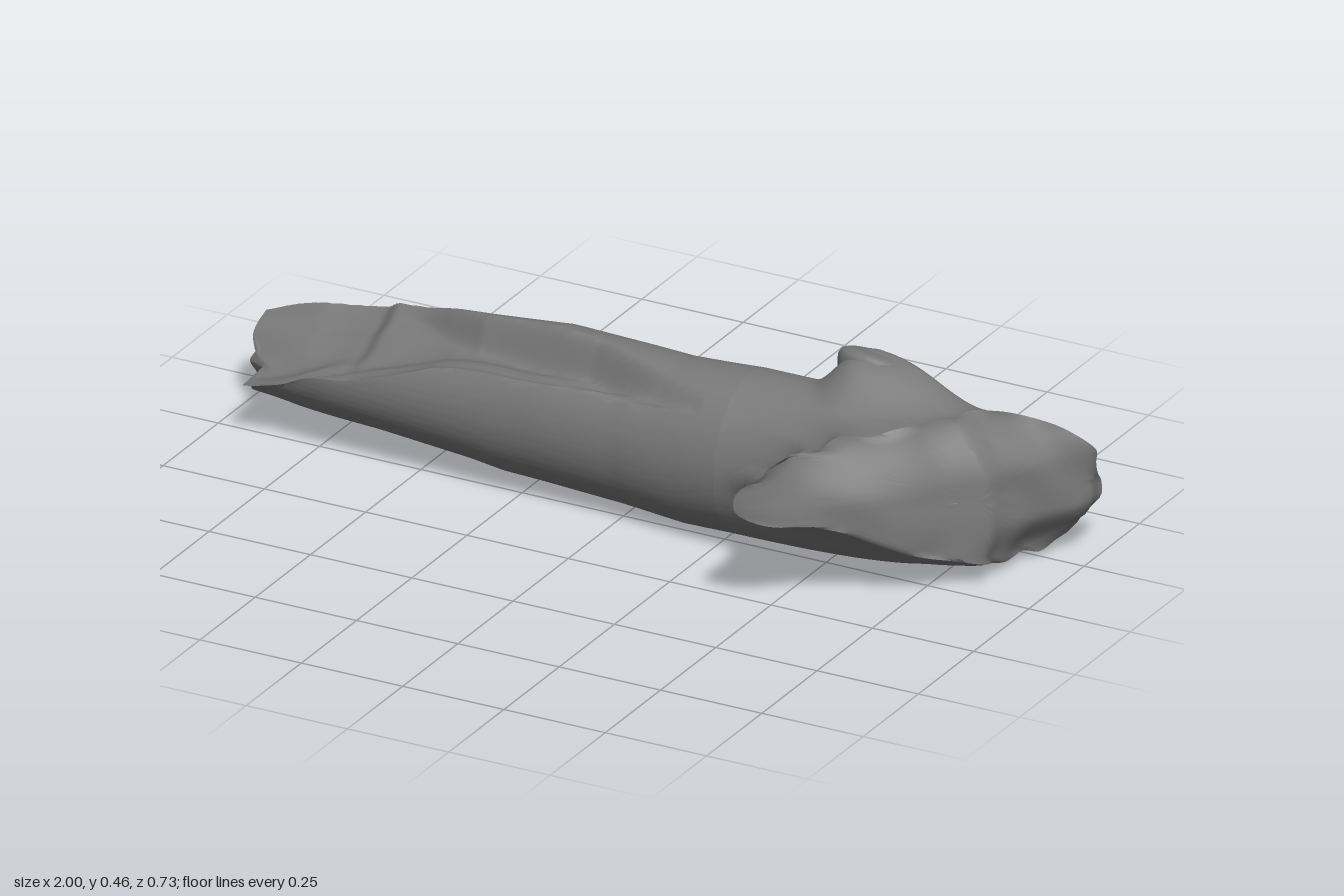
import * as THREE from 'three';
import { toCreasedNormals } from 'three/addons/utils/BufferGeometryUtils.js';

const N = 140;
const V = (x, y, z) => new THREE.Vector3(x, y, z);
const { lerp, smoothstep, clamp } = THREE.MathUtils;

// Piecewise-linear lookup in [x, value] pairs sorted by x
function along(table, x) {
  if (x <= table[0][0]) return table[0][1];
  for (let i = 1; i < table.length; i++) {
    const [x1, v1] = table[i], [x0, v0] = table[i - 1];
    if (x <= x1) return lerp(v0, v1, (x - x0) / (x1 - x0));
  }
  return table[table.length - 1][1];
}

// Smooth repeatable roughness in -1..1
const rough = (a, b) => Math.sin(a * 23 + 1.7 * Math.sin(b * 19)) * Math.cos(b * 29 + 1.3 * Math.sin(a * 17));

// Trunk limits along x
const BACK = [[-1, -0.195], [-0.7, -0.225], [-0.2, -0.24], [0.2, -0.228], [0.4, -0.23]];
const FRONT = [[-1, 0.055], [-0.7, 0.07], [0, 0.08], [0.2, 0.1], [0.35, 0.115]];
const BOTTOM = [[-1, 0.078], [-0.85, 0.066], [-0.6, 0.053], [-0.38, 0.032], [-0.3, 0.02], [0, 0.007], [0.15, 0], [0.4, 0.014]];
const TOP = [[-1, 0.33], [-0.6, 0.335], [-0.4, 0.35], [-0.2, 0.37], [0.1, 0.366], [0.4, 0.39]];
// Broken hollow: where it starts across the trunk, and its rim heights
const RIDGE = [[-0.72, -0.32], [-0.66, -0.22], [-0.5, -0.14], [-0.4, -0.1], [-0.1, -0.06], [0, -0.025], [0.2, 0.04], [0.27, 0.14]];
const FRONT_RIM = [[-1, 0.13], [-0.9, 0.155], [-0.65, 0.21], [-0.45, 0.28], [-0.3, 0.302], [0.2, 0.31]];
const BACK_RIM = [[-1, 0.205], [-0.9, 0.23], [-0.85, 0.243], [-0.69, 0.265], [-0.66, 0.3], [-0.4, 0.33], [0.2, 0.335]];
// Slanted broken face: x for each z, leaning back towards the top and undercut at the bottom
const FACE_X = [[-0.37, 0.98], [-0.3, 1], [-0.2, 0.94], [-0.1, 0.885], [-0.05, 0.87], [0, 0.82], [0.1, 0.745], [0.2, 0.655], [0.3, 0.56], [0.345, 0.52], [0.37, 0.465]];
const faceX = (y, z) => along(FACE_X, z)
  - 0.08 * (1 - smoothstep(y, 0.02, 0.14)) * smoothstep(-z, 0, 0.25)
  - 0.08 * smoothstep(y, 0.24, 0.4) * (1 - smoothstep(Math.abs(z), 0.2, 0.33));

// Point on the whole, unbroken trunk
function trunkPoint(x, a) {
  const zb = along(BACK, x), zf = along(FRONT, x), yb = along(BOTTOM, x), yt = along(TOP, x);
  return V(x, (yb + yt) / 2 + Math.sin(a) * (yt - yb) / 2, (zb + zf) / 2 + Math.cos(a) * (zf - zb) / 2);
}

// Lower the upper surface to the floor of the hollow
function carve(p) {
  const t = clamp((p.z + 0.21) / 0.27, 0, 1);
  const dish = 0.04 * Math.sin(Math.PI * t) * (1 - smoothstep(p.x, 0, 0.22));
  const floor = lerp(along(BACK_RIM, p.x), along(FRONT_RIM, p.x), t) - dish
    + 0.008 * rough(p.x * 0.5, p.z * 1.2);
  const ridge = along(RIDGE, p.x);
  if (p.y > floor) p.y = lerp(p.y, floor, smoothstep(p.z, ridge - 0.02, ridge + 0.03));
  return p;
}

// Swell the wood around the side branch, with a long shoulder to the right
function swell(p) {
  const dx = p.x - 0.54, dz = p.z + 0.14;
  const d = Math.hypot(dx / (dx < 0 ? 0.13 : 0.3), dz / (dz > 0 ? 0.17 : 0.1));
  const top = 0.45 - 0.1 * Math.max(0, dx);
  if (p.y < top) p.y = lerp(p.y, top, 1 - smoothstep(d, 0.25, 1));
  return p;
}

// Skin over a list of rings running towards +x
function loft(rings) {
  const pos = rings.flat().flatMap(p => [p.x, p.y, p.z]), index = [];
  for (let i = 0; i < rings.length - 1; i++) {
    for (let j = 0; j < N; j++) {
      const k = (j + 1) % N, a = i * N, b = a + N;
      index.push(a + j, b + j, b + k, a + j, b + k, a + k);
    }
  }
  const g = new THREE.BufferGeometry();
  g.setAttribute('position', new THREE.Float32BufferAttribute(pos, 3));
  g.setIndex(index);
  return toCreasedNormals(g, 0.8);
}

const ring = fn => Array.from({ length: N }, (_, j) => fn(j / N, j));

function trunkRings() {
  const rings = [];
  for (let i = 0; i <= 130; i++) {
    const x0 = lerp(-1, 0.28, i / 130);
    rings.push(ring(u => {
      const p = carve(trunkPoint(x0, u * Math.PI * 2));
      // Ragged left end, shorter at the front
      const fade = 1 - smoothstep(x0, -1, -0.7);
      p.x += fade * (0.085 * smoothstep(p.z, -0.14, -0.04) + 0.01 * (1 + rough(p.z * 2, p.y * 2)));
      return p;
    }));
  }
  // Recessed cap on the left end
  const first = rings[0], centre = V(-0.93, 0.12, -0.07);
  for (const s of [0.6, 0.02]) rings.unshift(first.map(p => p.clone().lerp(centre, 1 - s)));
  return rings;
}

function flareRings() {
  // Outline of the broken face, [z, y], from the front spike over the top
  const outline = [[0.365, 0.265], [0.36, 0.32], [0.305, 0.377], [0.22, 0.367], [0.19, 0.37], [0.15, 0.388], [0.1, 0.376],
    [0.05, 0.384], [-0.1, 0.39], [-0.23, 0.335], [-0.295, 0.265], [-0.325, 0.195], [-0.365, 0.15], [-0.342, 0.09],
    [-0.255, 0.013], [-0.21, 0.025], [-0.14, 0.024], [-0.08, 0.044], [0.0, 0.073], [0.09, 0.11], [0.22, 0.195], [0.345, 0.235]];
  const curve = new THREE.CatmullRomCurve3(outline.map(([z, y]) => V(0, y, z)), true, 'centripetal');
  const rim = ring(u => {
    const p = curve.getPointAt(u);
    p.x = faceX(p.y, p.z) + 0.006 * rough(p.y * 1.5, p.z * 1.5);
    return p;
  });
  const rings = [];
  // Wood sweeps outwards from the trunk to the rim
  for (let i = 0; i <= 70; i++) {
    rings.push(ring((u, j) => {
      const a = carve(trunkPoint(0.28, u * Math.PI * 2)), c = rim[j];
      const b = a.clone().setX(lerp(a.x, c.x, lerp(0.85, 0.92, smoothstep(c.z, 0, 0.3))));
      const p = new THREE.QuadraticBezierCurve3(a, b, c).getPoint(i / 70);
      return u < 0.5 ? swell(p) : p;
    }));
  }
  // Uneven broken face
  const edge = rings[rings.length - 1];
  for (const s of [0.95, 0.88, 0.8, 0.72, 0.64, 0.56, 0.48, 0.4, 0.32, 0.24, 0.16, 0.08, 0.002]) {
    rings.push(edge.map(p => {
      const q = p.clone().lerp(V(0, 0.21, -0.03), 1 - s);
      q.x = faceX(q.y, q.z) + 0.008 * rough(q.y * 0.8, q.z * 0.8);
      return q;
    }));
  }
  return rings;
}

// Oval stub of a side branch, its rounded end sloping down to the back
function stubGeometry() {
  const profile = [[1.02, 0], [1, 0.1], [0.97, 0.15], [0.99, 0.185], [0.97, 0.202], [0.88, 0.215], [0.7, 0.222], [0.4, 0.225], [0, 0.226]];
  const g = new THREE.LatheGeometry(profile.map(([r, y]) => new THREE.Vector2(r, y)), 40);
  const p = g.attributes.position;
  for (let i = 0; i < p.count; i++) {
    const x = p.getX(i), y = p.getY(i), z = p.getZ(i), h = y / 0.226;
    p.setXYZ(i, 0.535 + x * 0.088 + 0.01 * z * z, 0.22 + y + h * (0.026 * z - 0.008 * x), -0.153 + z * 0.07 - 0.006 * h);
  }
  g.computeVertexNormals();
  return g;
}

export function createModel() {
  const group = new THREE.Group();
  group.name = 'brokenLog';
  const wood = new THREE.MeshStandardMaterial({ color: 0x7a7a7a, side: THREE.DoubleSide });
  const add = (name, geometry) => {
    const mesh = new THREE.Mesh(geometry, wood);
    mesh.name = name;
    group.add(mesh);
  };
  add('trunk', loft(trunkRings()));
  add('flaredBrokenEnd', loft(flareRings()));
  add('branchStub', stubGeometry());
  return group;
}
